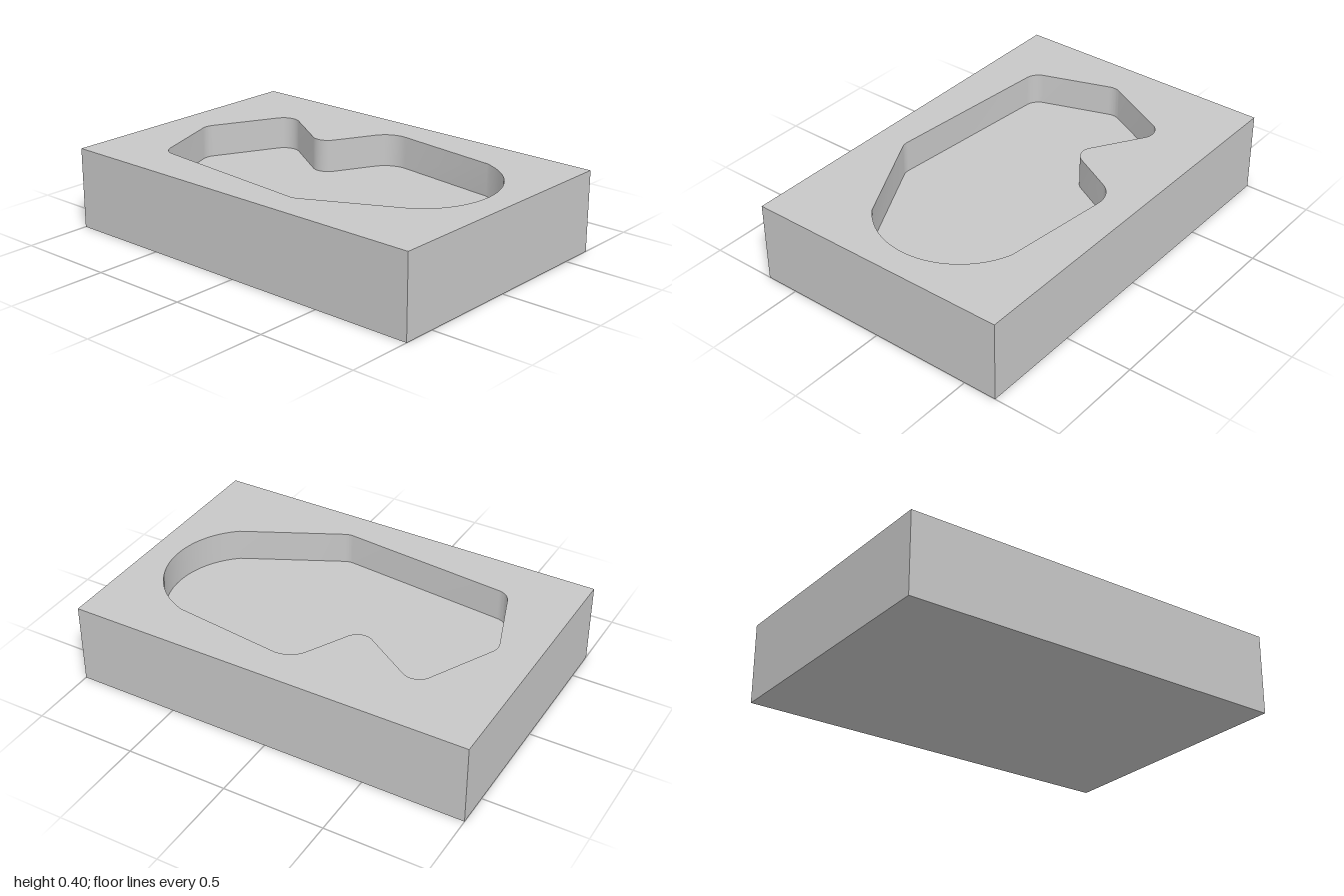
import * as THREE from 'three';
import { toCreasedNormals } from 'three/addons/utils/BufferGeometryUtils.js';

const WIDTH = 2, HEIGHT = 0.4, DEPTH = 1.333, POCKET = 0.16;

// Points along an arc between two angles
function arc(centre, radius, from, to, steps) {
  return Array.from({ length: steps + 1 }, (_, i) => {
    const a = from + (to - from) * i / steps;
    return new THREE.Vector2(centre.x + radius * Math.cos(a), centre.y + radius * Math.sin(a));
  });
}

// Rounded corner at c, tangent to the edges towards prev and next
function fillet(prev, c, next, radius) {
  const u = prev.clone().sub(c).normalize(), v = next.clone().sub(c).normalize();
  const half = Math.acos(u.dot(v)) / 2;
  const centre = u.clone().add(v).normalize().multiplyScalar(radius / Math.sin(half)).add(c);
  const reach = radius / Math.tan(half);
  const angleTo = (dir) => {
    const p = dir.clone().multiplyScalar(reach).add(c).sub(centre);
    return Math.atan2(p.y, p.x);
  };
  const from = angleTo(u);
  let sweep = angleTo(v) - from;
  if (sweep > Math.PI) sweep -= 2 * Math.PI;
  if (sweep < -Math.PI) sweep += 2 * Math.PI;
  return arc(centre, radius, from, from + sweep, 12);
}

// Pocket outline, counter-clockwise from above (outline y = -z)
function pocketOutline() {
  const bigArc = arc(new THREE.Vector2(0.465, 0.05), 0.4, -0.898, 1.257, 40);
  // x, y, corner radius
  const before = [[-0.812, -0.02, 0.08], [-0.67, -0.428, 0.08], [0.228, -0.508, 0.08]];
  const after = [[-0.039, 0.506, 0.133], [-0.221, 0.157, 0.075], [-0.6, 0.398, 0.08]];
  const corner = ([x, y, r]) => ({ p: new THREE.Vector2(x, y), r });
  const ring = [
    ...before.map(corner),
    { p: bigArc[0] }, { p: bigArc.at(-1) },
    ...after.map(corner),
  ];
  return ring.flatMap(({ p, r }, i) => {
    if (!r) return i === 3 ? bigArc : [];
    const prev = ring[(i + ring.length - 1) % ring.length].p;
    const next = ring[(i + 1) % ring.length].p;
    return fillet(prev, p, next, r);
  });
}

// Vertical wall along the outline, facing into the pocket
function wallGeometry(points, y0, y1) {
  const positions = [];
  points.forEach((a, i) => {
    const b = points[(i + 1) % points.length];
    const a0 = [a.x, y0, -a.y], a1 = [a.x, y1, -a.y];
    const b0 = [b.x, y0, -b.y], b1 = [b.x, y1, -b.y];
    positions.push(...b0, ...a0, ...a1, ...b0, ...a1, ...b1);
  });
  const geometry = new THREE.BufferGeometry();
  geometry.setAttribute('position', new THREE.Float32BufferAttribute(positions, 3));
  return toCreasedNormals(geometry, 0.5);
}

export function createModel() {
  const group = new THREE.Group();
  group.name = 'pocketedBlock';
  const grey = new THREE.MeshStandardMaterial({ color: 0xc7c7c7 });
  grey.name = 'lightGrey';
  const add = (name, geometry) => {
    const mesh = new THREE.Mesh(geometry, grey);
    mesh.name = name;
    group.add(mesh);
  };
  const flat = (shape, y) => new THREE.ShapeGeometry(shape).rotateX(-Math.PI / 2).translate(0, y, 0);
  const outline = pocketOutline();

  // Sides and underside: a box without its top face
  const box = new THREE.BoxGeometry(WIDTH, HEIGHT, DEPTH).translate(0, HEIGHT / 2, 0);
  const index = Array.from(box.index.array);
  index.splice(12, 6);
  box.setIndex(index);
  box.clearGroups();
  add('blockBody', box);

  // Top face with the pocket opening
  const w = WIDTH / 2, d = DEPTH / 2;
  const top = new THREE.Shape([[-w, -d], [w, -d], [w, d], [-w, d]].map(([x, y]) => new THREE.Vector2(x, y)));
  top.holes.push(new THREE.Path(outline));
  add('topFace', flat(top, HEIGHT));

  // Pocket
  add('pocketWall', wallGeometry(outline, HEIGHT - POCKET, HEIGHT));
  add('pocketFloor', flat(new THREE.Shape(outline), HEIGHT - POCKET));

  return group;
}
